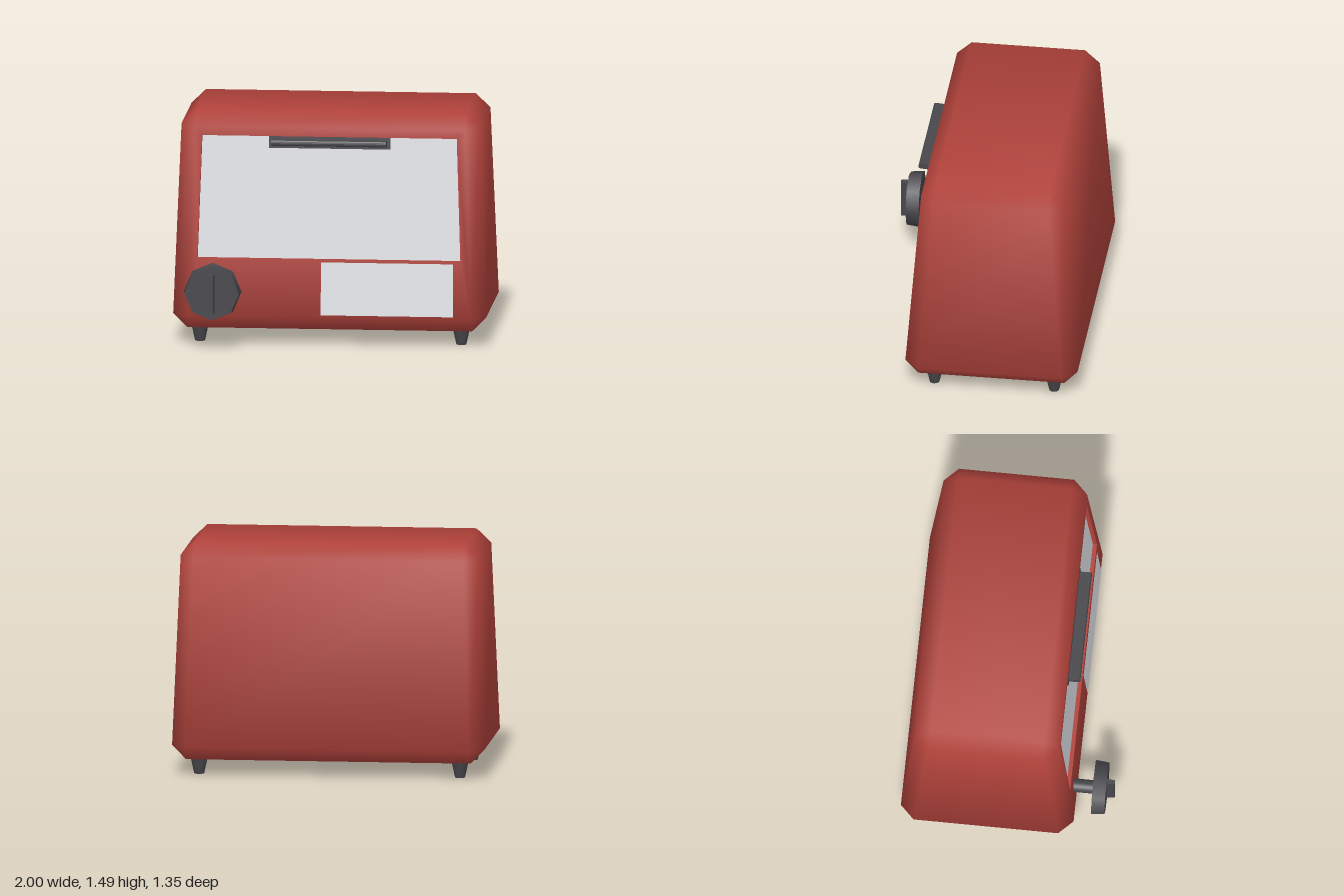
import * as THREE from 'three';

const red = new THREE.MeshStandardMaterial({ color: 0xb1423b });
red.name = 'red enamel';
const dark = new THREE.MeshStandardMaterial({ color: 0x47474c });
dark.name = 'dark plastic';
const grey = new THREE.MeshStandardMaterial({ color: 0xe2e3e7 });
grey.name = 'pale grey';

const V = (x, y, z) => new THREE.Vector3(x, y, z);
const SLOPE = (0.43 - 0.335) / (1.4 - 0.19);
const TILT = -Math.atan(SLOPE);
const frontZ = (y) => 0.43 - (y - 0.19) * SLOPE; // the leaning front face

// Polygons to geometry; smooth ones blend the distinct face normals meeting at a point
function polyGeometry(polys, smooth) {
  const key = (p) => [p.x, p.y, p.z].map((n) => Math.round(n * 1e4)).join();
  const shared = new Map();
  const faces = [];
  for (const poly of polys) {
    for (let i = 1; i < poly.length - 1; i++) {
      const tri = [poly[0], poly[i], poly[i + 1]];
      const n = new THREE.Triangle(...tri).getNormal(V(0, 0, 0));
      if (n.lengthSq() < 0.5) continue;
      faces.push({ tri, n });
      for (const p of tri) {
        const list = shared.get(key(p)) || [];
        if (!list.some((m) => m.dot(n) > 0.999)) list.push(n);
        shared.set(key(p), list);
      }
    }
  }
  const pos = [], nor = [];
  for (const { tri, n } of faces) for (const p of tri) {
    const m = smooth ? shared.get(key(p)).reduce((s, q) => s.add(q), V(0, 0, 0)).normalize() : n;
    pos.push(p.x, p.y, p.z);
    nor.push(m.x, m.y, m.z);
  }
  const g = new THREE.BufferGeometry();
  g.setAttribute('position', new THREE.Float32BufferAttribute(pos, 3));
  g.setAttribute('normal', new THREE.Float32BufferAttribute(nor, 3));
  return g;
}

// Horizontal section with cut corners, starting along the front edge
function ring(y, hx, zf, zb, c) {
  return [[-hx + c, zf], [hx - c, zf], [hx, zf - c], [hx, zb + c],
    [hx - c, zb], [-hx + c, zb], [-hx, zb + c], [-hx, zf - c]].map(([x, z]) => V(x, y, z));
}

// Four-cornered patch on the front face, shifted in z
function patch(x0, x1, y0, x2, x3, y1, dz) {
  return [V(x0, y0, frontZ(y0) + dz), V(x1, y0, frontZ(y0) + dz),
    V(x3, y1, frontZ(y1) + dz), V(x2, y1, frontZ(y1) + dz)];
}

export function createModel() {
  const model = new THREE.Group();
  const add = (name, geometry, material, parent = model, x = 0, y = 0, z = 0) => {
    const mesh = new THREE.Mesh(geometry, material);
    mesh.name = name;
    mesh.position.set(x, y, z);
    parent.add(mesh);
  };

  // Tapered shell with bevelled edges and a window opening in front
  const rings = [
    ring(0.1, 0.91, 0.345, -0.59, 0),
    ring(0.19, 1, 0.43, -0.675, 0.09),
    ring(1.4, 0.955, 0.335, -0.583, 0.09),
    ring(1.49, 0.862, 0.24, -0.488, 0),
  ];
  const hole = patch(-0.84, 0.84, 0.56, -0.815, 0.812, 1.343, 0);
  const inner = patch(-0.84, 0.84, 0.56, -0.815, 0.812, 1.343, -0.026);
  const shell = [], flat = [];
  for (let r = 0; r < 3; r++) {
    for (let i = 0; i < 8; i++) {
      const j = (i + 1) % 8;
      const quad = [rings[r][i], rings[r][j], rings[r + 1][j], rings[r + 1][i]];
      if (r === 1 && i === 0) {
        for (let k = 0; k < 4; k++) {
          const l = (k + 1) % 4;
          shell.push([quad[k], quad[l], hole[l], hole[k]]);
          flat.push([hole[k], hole[l], inner[l], inner[k]]);
        }
      } else shell.push(quad);
    }
  }
  // Top and base, one point from each corner
  shell.push([0, 2, 4, 6].map((i) => rings[3][i]));
  flat.push([6, 4, 2, 0].map((i) => rings[0][i]));
  add('shell', polyGeometry(shell, true), red);
  add('windowRecessAndBase', polyGeometry(flat, false), red);

  // Door window and lower control panel
  add('doorWindow', polyGeometry([inner], false), grey);
  add('controlPanel', polyGeometry([patch(-0.05, 0.795, 0.205, -0.05, 0.795, 0.543, 0.004)], false), grey);

  // Door handle: mounting plate and a bar with a rounded lip
  const handle = new THREE.Group();
  handle.name = 'doorHandle';
  handle.position.set(0, 1.306, frontZ(1.306));
  handle.rotation.x = TILT;
  model.add(handle);
  add('handlePlate', new THREE.BoxGeometry(0.775, 0.076, 0.026), dark, handle, 0, 0, -0.013);
  const lip = new THREE.Shape();
  lip.moveTo(0, -0.018);
  lip.lineTo(0.064, -0.018);
  lip.quadraticCurveTo(0.076, -0.018, 0.076, 0);
  lip.quadraticCurveTo(0.076, 0.018, 0.064, 0.018);
  lip.lineTo(0, 0.018);
  const bar = new THREE.ExtrudeGeometry(lip, { depth: 0.735, bevelEnabled: false, curveSegments: 3 });
  bar.translate(0, 0, -0.3675).rotateY(-Math.PI / 2);
  add('handleBar', bar, dark, handle);

  // Eight-sided knob on a shaft
  const knob = new THREE.Group();
  knob.name = 'knob';
  knob.position.set(-0.73, 0.37, 0);
  model.add(knob);
  const shaft = new THREE.CylinderGeometry(0.044, 0.044, 0.15, 12).rotateX(Math.PI / 2);
  add('knobShaft', shaft, dark, knob, 0, 0, 0.47);
  const dial = new THREE.CylinderGeometry(0.174, 0.184, 0.085, 8).rotateX(Math.PI / 2);
  add('knobDial', dial, dark, knob, 0, 0, 0.583);
  const grip = new THREE.BoxGeometry(0.036, 0.252, 0.052);
  const gp = grip.attributes.position;
  for (let i = 0; i < gp.count; i++) if (gp.getZ(i) > 0) gp.setX(i, gp.getX(i) * 0.75);
  grip.computeVertexNormals();
  add('knobGrip', grip, dark, knob, 0, 0, 0.65);

  // Tapered feet
  const foot = new THREE.CylinderGeometry(0.054, 0.032, 0.1, 12);
  for (const x of [-0.836, 0.834]) for (const z of [0.253, -0.515]) {
    add('foot', foot, dark, model, x, 0.05, z);
  }
  return model;
}
